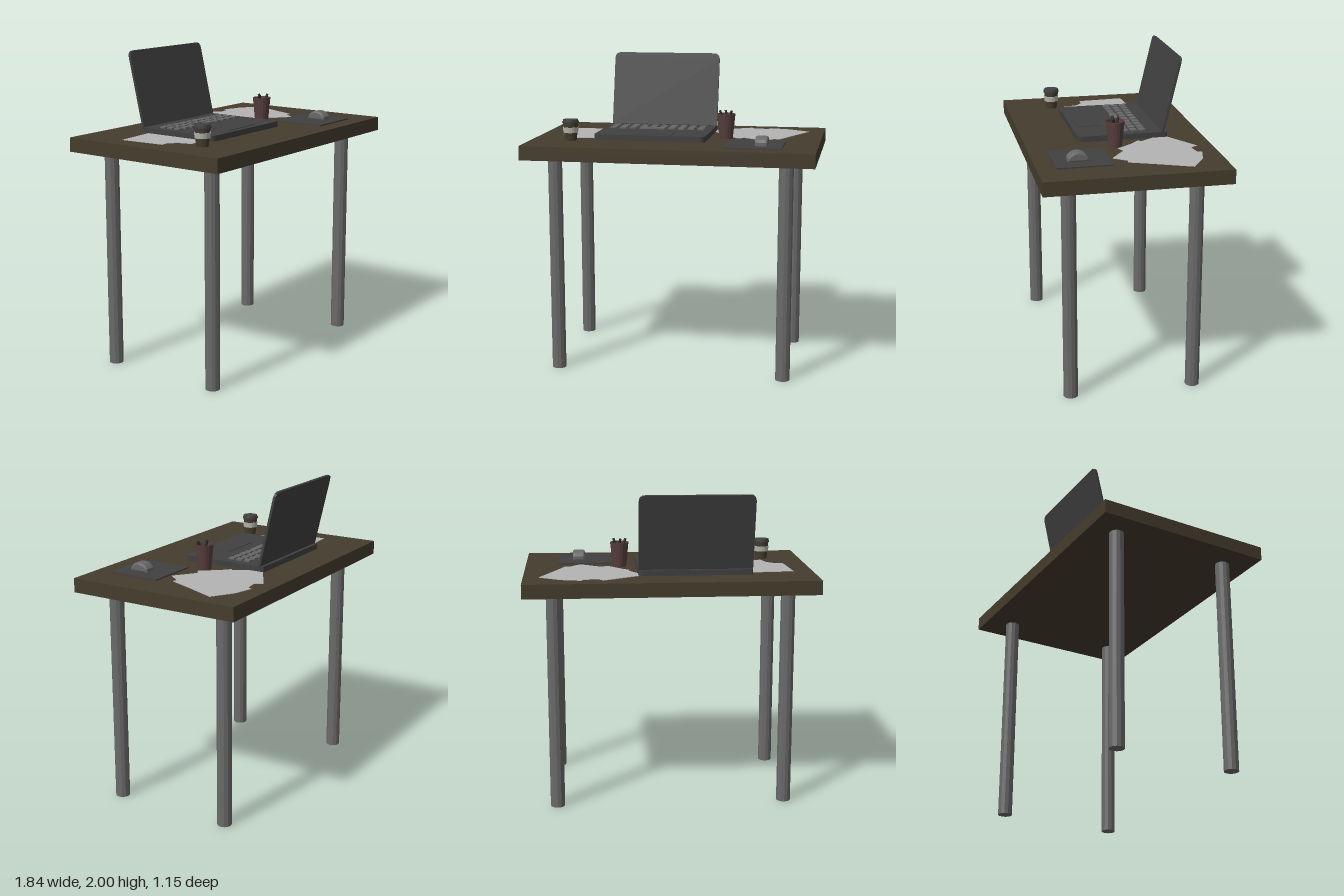
import * as THREE from 'three';

const mat = (name, color, extra = {}) => {
  const m = new THREE.MeshStandardMaterial({ color, flatShading: true, ...extra });
  m.name = name;
  return m;
};

export function createModel() {
  const wood = mat('dark wood', 0x453c2d);
  const metal = mat('leg metal', 0x6a6a6a);
  const charcoal = mat('charcoal', 0x404040);
  const grey = mat('key grey', 0x686868);
  const paper = mat('paper', 0xb4b4b4);
  const band = mat('cup band', 0xb8b8b0);
  const maroon = mat('pen cup maroon', 0x573f3d, { side: THREE.DoubleSide });
  const ink = mat('pen dark', 0x2a2a22);

  const TOP = 1.49; // desk surface height
  const model = new THREE.Group();
  model.name = 'desk';

  const add = (parent, name, geo, material, x = 0, y = 0, z = 0) => {
    const m = new THREE.Mesh(geo, material);
    m.name = name;
    m.position.set(x, y, z);
    parent.add(m);
    return m;
  };
  const group = (name, x = 0, y = 0, z = 0) => {
    const g = new THREE.Group();
    g.name = name;
    g.position.set(x, y, z);
    model.add(g);
    return g;
  };
  const box = (w, h, d) => new THREE.BoxGeometry(w, h, d);
  const extrude = (shape, depth) =>
    new THREE.ExtrudeGeometry(shape, { depth, bevelEnabled: false, curveSegments: 4 });

  // Panel from y = 0 to h, with separate bottom and top corner radii
  const panel = (w, h, rBottom, rTop) => {
    const s = new THREE.Shape(), a = w / 2;
    s.moveTo(-a + rBottom, 0);
    s.lineTo(a - rBottom, 0);
    s.quadraticCurveTo(a, 0, a, rBottom);
    s.lineTo(a, h - rTop);
    s.quadraticCurveTo(a, h, a - rTop, h);
    s.lineTo(-a + rTop, h);
    s.quadraticCurveTo(-a, h, -a, h - rTop);
    s.lineTo(-a, rBottom);
    s.quadraticCurveTo(-a, 0, -a + rBottom, 0);
    return s;
  };

  // Table top and legs
  add(model, 'tableTop', box(1.84, 0.09, 1.15), wood, 0, 1.445, 0);
  for (const x of [-0.738, 0.733])
    for (const z of [-0.393, 0.395])
      add(model, 'leg', new THREE.CylinderGeometry(0.046, 0.046, 1.4, 12), metal, x, 0.7, z);

  // Laptop: base, keyboard, trackpad and tilted screen
  const laptop = group('laptop', -0.162, TOP, 0);
  const base = add(laptop, 'laptopBase', extrude(panel(0.724, 0.585, 0.035, 0.02), 0.036),
    charcoal, 0, 0, 0.24);
  base.rotation.x = -Math.PI / 2;
  for (let row = 0; row < 3; row++) {
    for (let col = 0; col < 10; col++) {
      if (row === 2 && col >= 3 && col <= 5) continue;
      add(laptop, 'key', box(0.041, 0.012, 0.041), grey,
        -0.298 + col * 0.0651, 0.04, -0.19 + row * 0.056);
    }
  }
  add(laptop, 'spaceBar', box(0.168, 0.012, 0.041), grey, -0.037, 0.04, -0.078);
  add(laptop, 'trackpad', box(0.28, 0.004, 0.16), charcoal, 0, 0.037, 0.12);
  const screen = add(laptop, 'screen', extrude(panel(0.724, 0.49, 0.005, 0.04), 0.016),
    charcoal, 0, 0.033, -0.322);
  screen.rotation.x = -0.228;

  // Loose paper piles, outlines given as x, z
  const pile = (name, pts) => {
    const s = new THREE.Shape(pts.map(([x, z]) => new THREE.Vector2(x, -z)));
    add(model, name, extrude(s, 0.003), paper, 0, TOP, 0).rotation.x = -Math.PI / 2;
  };
  pile('leftPapers', [[-0.795, -0.25], [-0.46, -0.275], [-0.46, 0.2], [-0.525, 0.18],
    [-0.555, 0.163], [-0.648, 0.182], [-0.672, 0.09], [-0.72, 0.05], [-0.775, 0.05]]);
  pile('rightPapers', [[0.17, -0.325], [0.42, -0.478], [0.45, -0.43], [0.54, -0.443],
    [0.555, -0.473], [0.68, -0.44], [0.82, -0.35], [0.73, -0.148], [0.66, 0.02],
    [0.63, 0.01], [0.565, 0.094], [0.43, -0.005], [0.38, 0.02], [0.30, -0.084],
    [0.24, -0.138], [0.26, -0.158], [0.17, -0.29]]);

  // Mouse pad and arched mouse
  add(model, 'mousePad', box(0.35, 0.008, 0.35), charcoal, 0.53, TOP + 0.004, 0.286);
  const arch = new THREE.Shape();
  arch.moveTo(-0.052, 0);
  arch.lineTo(0.052, 0);
  arch.lineTo(0.052, 0.01);
  arch.bezierCurveTo(0.03, 0.047, -0.03, 0.047, -0.052, 0.01);
  const mouse = add(model, 'mouse', new THREE.ExtrudeGeometry(arch, {
    depth: 0.054, bevelThickness: 0.013, bevelSize: 0.011, bevelSegments: 2, curveSegments: 8,
  }), grey, 0.545, TOP + 0.016, 0.311);
  mouse.rotation.y = Math.PI / 2;

  // Takeaway cup with sleeve and lid
  const cup = group('coffeeCup', -0.665, TOP, 0.27);
  const ring = (name, rTop, rBottom, y0, y1, m) =>
    add(cup, name, new THREE.CylinderGeometry(rTop, rBottom, y1 - y0, 16), m, 0, (y0 + y1) / 2, 0);
  ring('cupBody', 0.049, 0.038, 0, 0.115, wood);
  ring('cupSleeve', 0.051, 0.047, 0.05, 0.085, band);
  ring('lidRim', 0.054, 0.054, 0.112, 0.122, charcoal);
  ring('lidTop', 0.048, 0.05, 0.122, 0.134, charcoal);

  // Hollow pen cup with leaning pens
  const holder = group('penHolder', 0.307, TOP, 0.022);
  const profile = [[0, 0], [0.044, 0], [0.06, 0.16], [0.054, 0.16], [0.04, 0.01], [0, 0.01]]
    .map(([r, y]) => new THREE.Vector2(r, y));
  add(holder, 'penCup', new THREE.LatheGeometry(profile, 16), maroon);
  const pens = [[-0.04, 0.01, 0.018, 0.02], [0.038, 0.02, -0.01, 0.01], [-0.005, -0.02, 0.01, 0.04]];
  for (const [x0, z0, x1, z1] of pens) {
    const tip = new THREE.Vector3(x0, 0.182, z0), foot = new THREE.Vector3(x1, 0.012, z1 - 0.02);
    const dir = tip.clone().sub(foot);
    const pen = add(holder, 'pen', new THREE.CylinderGeometry(0.008, 0.008, dir.length(), 8), ink);
    pen.position.copy(tip).add(foot).multiplyScalar(0.5);
    pen.quaternion.setFromUnitVectors(new THREE.Vector3(0, 1, 0), dir.normalize());
  }

  return model;
}
